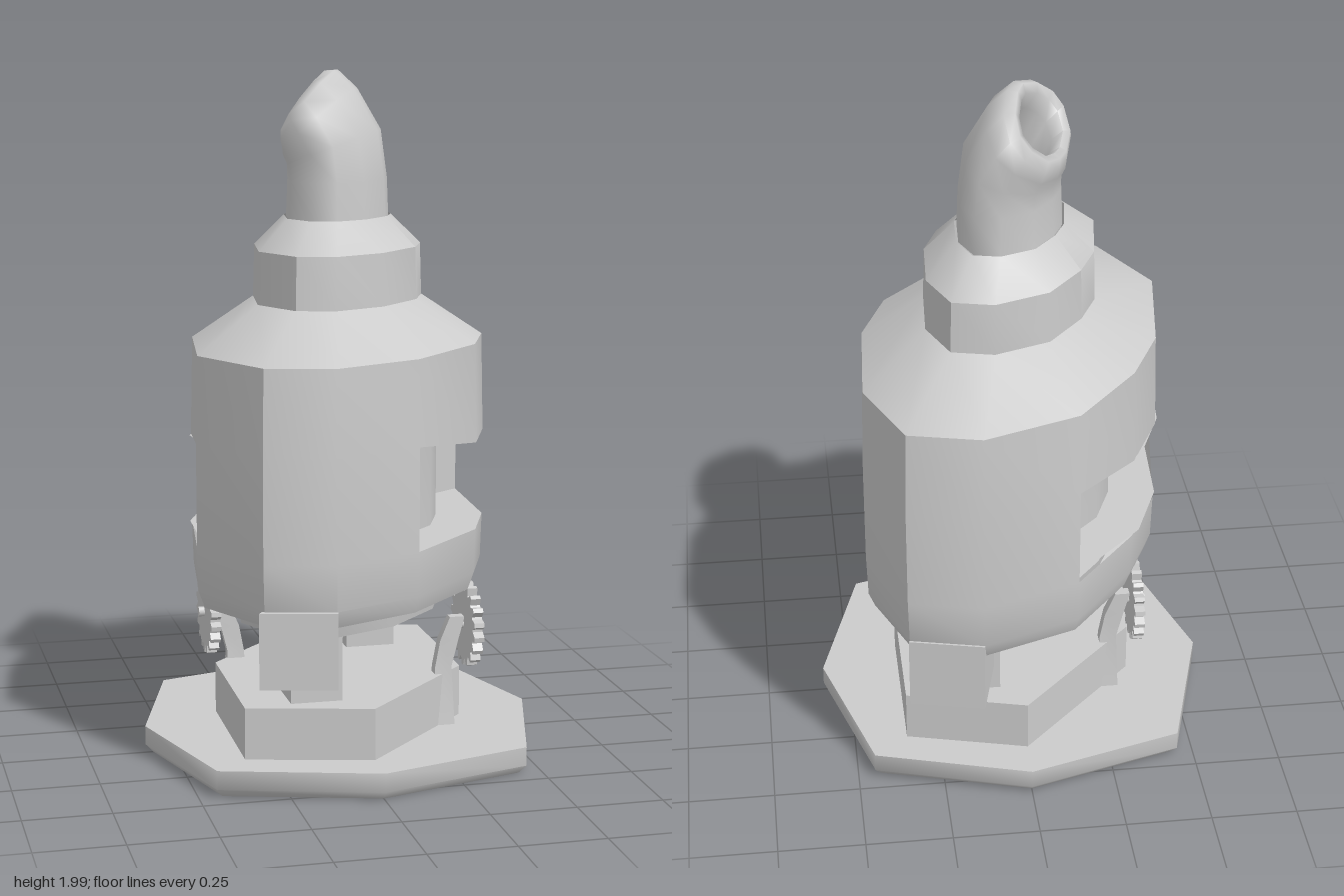
import * as THREE from 'three';
import { toCreasedNormals } from 'three/addons/utils/BufferGeometryUtils.js';

const material = new THREE.MeshStandardMaterial({ color: 0xcccccc, side: THREE.DoubleSide });

// Plan outlines as [x, z], running back -> right -> front
const OVAL = [[.14, -.6], [.35, -.55], [.45, -.3], [.43, .05], [.35, .25], [.12, .48],
  [-.14, .59], [-.335, .54], [-.47, .28], [-.42, -.08], [-.325, -.28], [-.14, -.5]];
const OCTAGON = [[0, -.58], [.45, -.45], [.58, 0], [.45, .45], [0, .58], [-.45, .45], [-.58, 0], [-.45, -.45]];
const HEXAGON = [[0, -.46], [.35, -.37], [.35, .1], [0, .46], [-.355, .37], [-.35, -.1]];

const ring = (plan, y, s = 1) => plan.map(([x, z]) => new THREE.Vector3(x * s, y, z * s));

// Skin a stack of rings (bottom to top); skip(row, column) leaves holes
function loft(rings, { bottom = false, top = false, closed = true, skip = () => false, crease = 0.75 } = {}) {
  const pos = [];
  const tri = (...v) => v.forEach(p => pos.push(p.x, p.y, p.z));
  const n = rings[0].length;
  for (let r = 0; r < rings.length - 1; r++) {
    for (let i = 0; i < (closed ? n : n - 1); i++) {
      if (skip(r, i)) continue;
      const j = (i + 1) % n, lo = rings[r], hi = rings[r + 1];
      tri(lo[i], hi[i], hi[j]);
      tri(lo[i], hi[j], lo[j]);
    }
  }
  const cap = (loop, up) => {
    const c = loop.reduce((a, p) => a.add(p), new THREE.Vector3()).divideScalar(n);
    loop.forEach((p, i) => {
      const q = loop[(i + 1) % n];
      up ? tri(c, q, p) : tri(c, p, q);
    });
  };
  if (bottom) cap(rings[0], false);
  if (top) cap(rings[rings.length - 1], true);
  const geo = new THREE.BufferGeometry();
  geo.setAttribute('position', new THREE.Float32BufferAttribute(pos, 3));
  return toCreasedNormals(geo, crease);
}

function add(parent, name, geo, x = 0, y = 0, z = 0) {
  const mesh = new THREE.Mesh(geo, material);
  mesh.name = name;
  mesh.position.set(x, y, z);
  parent.add(mesh);
  return mesh;
}

// Window band edges: the lintel dips in the middle of each opening
const inWindow = i => i % 6 >= 2 && i % 6 <= 4;
const lintel = i => (i % 6 === 3 || i % 6 === 4 ? .935 : .975);
const lintelRing = s => ring(OVAL, 0, s).map((p, i) => p.setY(lintel(i)));

// Spout section: the oval tilted about its long axis
function spoutRing(shift, y, tilt, s) {
  const m = [.92, .39], d = [-.39, .92];
  return OVAL.map(([x, z]) => {
    const a = (x * m[0] + z * m[1]) * s, b = (x * d[0] + z * d[1]) * s;
    const h = shift + a * Math.cos(tilt);
    return new THREE.Vector3(h * m[0] + b * d[0], y + a * Math.sin(tilt), h * m[1] + b * d[1]);
  });
}

function gearGeometry() {
  const shape = new THREE.Shape(), teeth = 18;
  for (let i = 0; i < teeth; i++) {
    [[0, .104], [.3, .125], [.6, .125], [.8, .104]].forEach(([f, r], k) => {
      const a = (i + f) / teeth * Math.PI * 2;
      shape[i + k ? 'lineTo' : 'moveTo'](r * Math.cos(a), r * Math.sin(a));
    });
  }
  shape.closePath();
  const geo = new THREE.ExtrudeGeometry(shape, { depth: .03, bevelEnabled: false });
  return geo.translate(0, 0, -.015).rotateY(Math.PI / 2);
}

// Everything that repeats after half a turn
function side(name) {
  const g = new THREE.Group();
  g.name = name;

  // Window recess: back wall, sill, lintel and two reveals
  const cut = (a, b) => r => r.slice(a, b);
  const span = cut(2, 6), inner = .68;
  const sillIn = span(ring(OVAL, .68, inner)), sillOut = span(ring(OVAL, .68));
  const topIn = span(lintelRing(inner)), topOut = span(lintelRing(1));
  add(g, 'windowBackWall', loft([sillIn, topIn], { closed: false }));
  add(g, 'windowSill', loft([sillOut, sillIn], { closed: false }));
  add(g, 'windowLintel', loft([topIn, topOut], { closed: false }));
  add(g, 'windowBackReveal', loft([[sillOut[0], sillIn[0]], [topOut[0], topIn[0]]], { closed: false }));
  add(g, 'windowFrontReveal', loft([[sillIn[3], sillOut[3]], [topIn[3], topOut[3]]], { closed: false }));

  // Block hanging below the narrow end of the body
  const end = [OVAL[0], OVAL[1], OVAL[1].map(v => v * .66), OVAL[0].map(v => v * .66)];
  add(g, 'endBlock', loft([ring(end, .335), ring(end, .55)], { bottom: true, top: true, crease: .3 }));

  // Pillar between plinth and drum
  add(g, 'pillar', new THREE.BoxGeometry(.15, .22, .19), .145, .33, -.265);

  // Gear on its bent stand
  const foot = (x0, x1, y, w) => ring([[x0, .155 - w], [x1, .155 - w], [x1, .155 + w], [x0, .155 + w]], y);
  add(g, 'gearStand', loft([foot(.25, .31, .08, .038), foot(.255, .305, .25, .017),
    foot(.27, .325, .33, .017), foot(.3, .345, .4, .015)], { top: true, crease: .4 }));
  add(g, 'gear', gearGeometry(), .358, .375, .155);
  add(g, 'gearAxle', new THREE.CylinderGeometry(.015, .015, .07, 8).rotateZ(Math.PI / 2), .355, .375, .155);
  return g;
}

export function createModel() {
  const model = new THREE.Group();
  model.name = 'spoutedLantern';

  // Base and plinth
  add(model, 'base', loft([ring(OCTAGON, 0, .96), ring(OCTAGON, .025), ring(OCTAGON, .08)],
    { bottom: true, top: true, crease: 1.1 }));
  add(model, 'plinth', loft([ring(HEXAGON, .07), ring(HEXAGON, .23)], { top: true, crease: .4 }));

  // Drum under the body
  add(model, 'drum', loft([ring(OVAL, .43, .7), ring(OVAL, .55, .74)], { bottom: true }));

  // Body wall with two windows, from underside to neck
  const body = [ring(OVAL, .52, .72), ring(OVAL, .5, .95), ring(OVAL, .55, .99), ring(OVAL, .68),
    lintelRing(1), ring(OVAL, 1.22, .985), ring(OVAL, 1.34, .57), ring(OVAL, 1.49, .56), ring(OVAL, 1.575, .36)];
  add(model, 'body', loft(body, { skip: (r, i) => r === 3 && inWindow(i) }));

  // Bent spout with rounded lip and hollow mouth
  add(model, 'spout', loft([
    spoutRing(0, 1.57, 0, .345), spoutRing(0, 1.68, 0, .335), spoutRing(-.01, 1.77, .35, .335),
    spoutRing(-.05, 1.84, .75, .335), spoutRing(-.08, 1.88, .95, .315), spoutRing(-.095, 1.893, .98, .265),
    spoutRing(-.09, 1.885, .98, .21), spoutRing(-.06, 1.85, .9, .185), spoutRing(-.01, 1.76, .4, .18),
  ], { top: true, crease: 1.2 }));

  // Matching halves
  const left = side('leftSide'), right = side('rightSide');
  right.rotation.y = Math.PI;
  model.add(left, right);
  return model;
}
